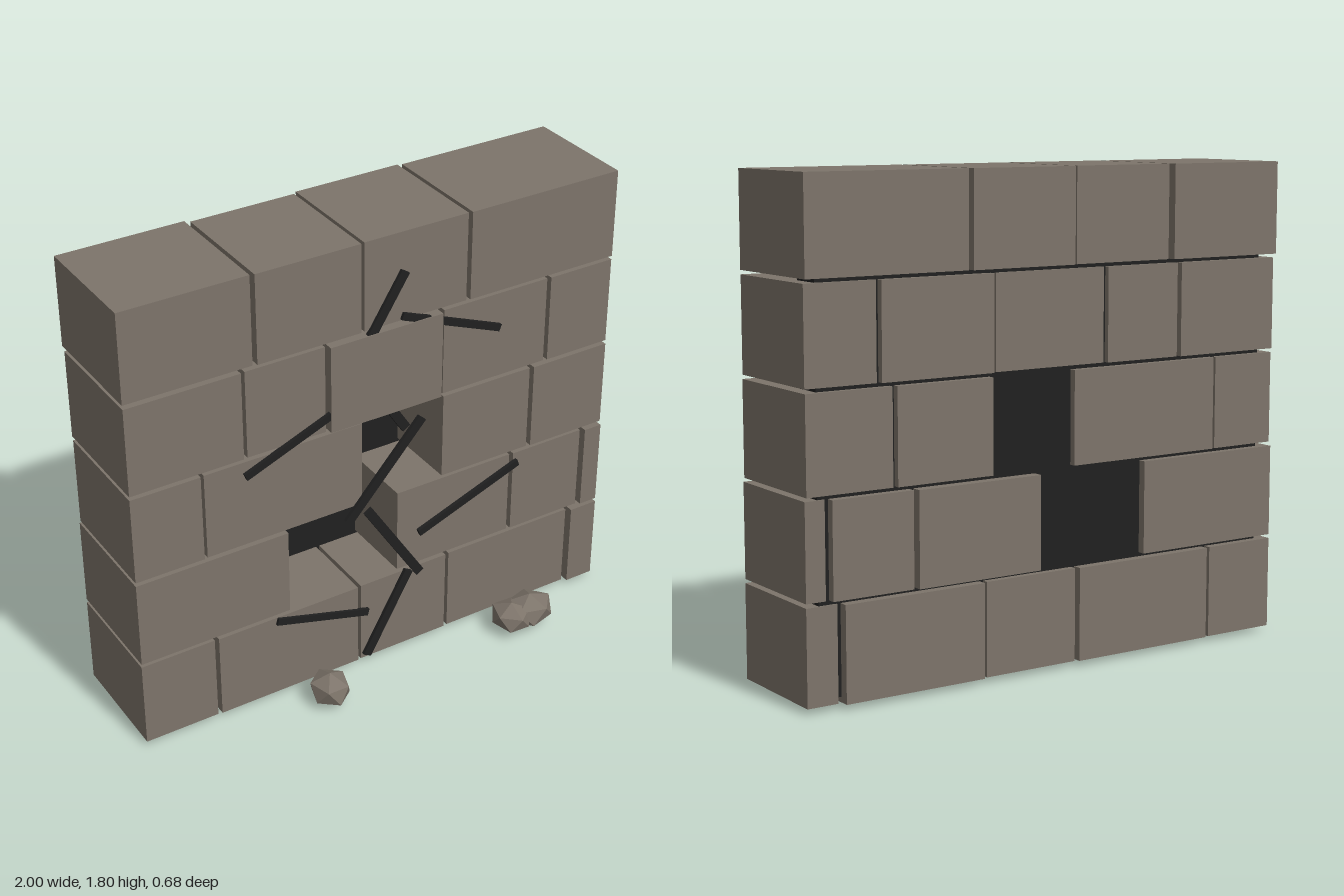
import * as THREE from 'three';

export function createModel() {
  const model = new THREE.Group();
  model.name = 'brokenWall';
  const stone = new THREE.MeshStandardMaterial({ color: 0x7d746a, flatShading: true });
  stone.name = 'stone';
  const dark = new THREE.MeshStandardMaterial({ color: 0x202020, flatShading: true });
  dark.name = 'darkMortar';

  const box = (name, mat, x0, x1, y0, y1, z0, z1) => {
    const m = new THREE.Mesh(new THREE.BoxGeometry(x1 - x0, y1 - y0, z1 - z0), mat);
    m.position.set((x0 + x1) / 2, (y0 + y1) / 2, (z0 + z1) / 2);
    m.name = name;
    model.add(m);
    return m;
  };

  // Thin mortar core, visible in the joints and through the hole
  box('mortarCore', dark, -0.95, 0.95, 0.05, 1.79, -0.305, -0.19);

  // Courses from the bottom up; each block is [left, right, back, front]
  const courses = [
    [[-1, -0.706, -0.335, 0.115], [-0.69, -0.1, -0.34, 0.118], [-0.086, 0.294, -0.33, 0.115],
      [0.31, 0.866, -0.34, 0.112], [0.882, 1, -0.312, 0.128]],
    [[-1, -0.393, -0.335, 0.118], [0.075, 0.578, -0.345, 0.112],
      [0.594, 0.909, -0.335, 0.115], [0.925, 1, -0.312, 0.127]],
    [[-1, -0.73, -0.325, 0.118], [-0.717, -0.08, -0.33, 0.115],
      [0.267, 0.652, -0.33, 0.115], [0.668, 1, -0.325, 0.12]],
    [[-1, -0.56, -0.33, 0.118], [-0.545, -0.23, -0.325, 0.115], [-0.217, 0.246, -0.315, 0.133],
      [0.262, 0.711, -0.33, 0.115], [0.727, 1, -0.322, 0.118]],
    [[-1, -0.513, -0.345, 0.115], [-0.497, -0.086, -0.33, 0.12], [-0.072, 0.353, -0.342, 0.117],
      [0.369, 1, -0.335, 0.12]],
  ];
  courses.forEach((blocks, row) => {
    const y = 0.03 + row * 0.359;
    blocks.forEach(([x0, x1, z0, z1], i) =>
      box(`block${row + 1}_${i + 1}`, stone, x0, x1, y, y + 0.344, z0, z1));
  });

  // Cracks: thin bars from one point to another across the front
  const cracks = [
    [0.09, 1.66, -0.11, 1.345], [-0.11, 1.345, 0.1, 1.02], [0.17, 1.04, -0.145, 0.69],
    [-0.06, 0.71, 0.17, 0.35], [0.12, 0.375, -0.065, 0.045], [0.08, 1.485, 0.5, 1.315],
    [-0.56, 1.035, -0.17, 1.19], [-0.45, 0.36, -0.06, 0.25], [0.165, 0.53, 0.61, 0.695],
  ];
  cracks.forEach(([x0, y0, x1, y1], i) => {
    const len = Math.hypot(x1 - x0, y1 - y0), w = i < 5 ? 0.036 : 0.028;
    const bar = box(`crack${i + 1}`, dark, -len / 2, len / 2, -w / 2, w / 2, 0.114, 0.129);
    bar.position.x = (x0 + x1) / 2;
    bar.position.y = (y0 + y1) / 2;
    bar.rotation.z = Math.atan2(y1 - y0, x1 - x0);
  });

  // Fallen rubble: squashed icosahedra, one point up
  const rubble = [
    { at: [-0.305, 0.077, 0.25], size: [0.082, 0.068, 0.09], turn: 0.3 },
    { at: [0.515, 0.085, 0.255], size: [0.08, 0.06, 0.092], turn: 0.9 },
    { at: [0.605, 0.083, 0.25], size: [0.105, 0.068, 0.09], turn: 0.0 },
  ];
  rubble.forEach(({ at, size, turn }, i) => {
    const geo = new THREE.IcosahedronGeometry(1, 0);
    geo.rotateZ(-0.5536).rotateY(turn).scale(...size);
    const rock = new THREE.Mesh(geo, stone);
    rock.position.set(...at);
    rock.name = `rubble${i + 1}`;
    model.add(rock);
  });

  return model;
}
